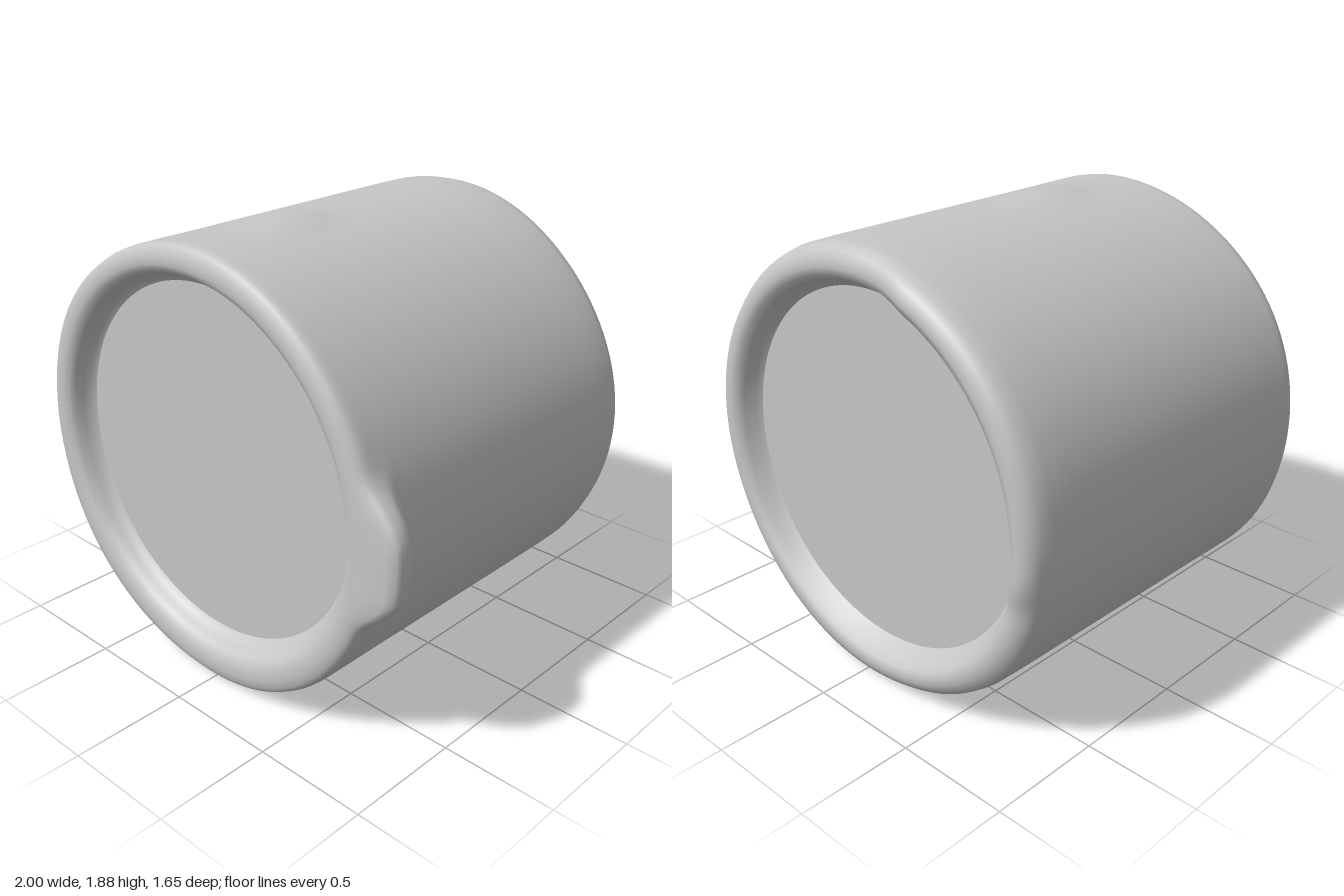
import * as THREE from 'three';
import { mergeVertices } from 'three/addons/utils/BufferGeometryUtils.js';

const smooth = THREE.MathUtils.smoothstep;
const CX = -0.055, CY = 0.928;

// Hand-made irregularity: pull tab, shallow swelling and uneven back rim
function deform(x, y, z) {
  const r = Math.hypot(x, y), a = Math.atan2(y, x);
  const outer = smooth(r, 0.84, 0.93);
  let grow = 0.004 * Math.sin(5 * a + 1) * outer;
  // Pull tab on the left side of the front rim
  const tab = 1 - smooth(Math.abs(a + 0.03), 0.1, 0.36);
  grow += 0.115 * tab * smooth(z, 0.64, 0.75) * outer;
  // Slight swelling on the top
  const d = Math.hypot((x - 0.03) / 0.2, (z - 0.3) / 0.3);
  if (y > 0) grow += 0.02 * (1 - smooth(d, 0, 1)) * outer;
  // The back rim stands out further on its upper right
  const back = smooth(-z, 0.72, 0.8) * smooth(-x, 0.13, 0.32) * smooth(y, -0.27, -0.1);
  // Front recess sits a little high
  const lift = z > 0.6 ? 0.018 * (1 - smooth(r, 0.78, 0.9)) : 0;
  const s = r > 0 ? (r + grow) / r : 1;
  return [CX + x * s * 1.005, CY + y * s * 0.99 + lift, z - 0.028 * back + 0.008 * tab * outer * smooth(z, 0.7, 0.8)];
}

// Revolve [radius, z] points around the z axis, then deform
function revolve(points, name, material) {
  let g = new THREE.LatheGeometry(points.map(p => new THREE.Vector2(...p)), 128);
  g.rotateX(Math.PI / 2);
  g.deleteAttribute('uv');
  g.deleteAttribute('normal');
  const p = g.attributes.position;
  for (let i = 0; i < p.count; i++) p.setXYZ(i, ...deform(p.getX(i), p.getY(i), p.getZ(i)));
  g = mergeVertices(g, 1e-5);
  g.computeVertexNormals();
  const mesh = new THREE.Mesh(g, material);
  mesh.name = name;
  return mesh;
}

export function createModel() {
  const group = new THREE.Group();
  group.name = 'can';
  const grey = new THREE.MeshStandardMaterial({ color: 0xc6c6c6 });
  grey.name = 'grey';

  // Side wall with a rounded rim at each end
  const profile = [[0.755, -0.7], [0.777, -0.722], [0.795, -0.765], [0.815, -0.792], [0.845, -0.8],
    [0.875, -0.797], [0.905, -0.783], [0.925, -0.76], [0.935, -0.72]];
  for (let z = -0.6; z < 0.6; z += 0.08) profile.push([0.937, z]);
  for (let z = 0.62; z < 0.765; z += 0.02) profile.push([0.938, z]);
  profile.push([0.936, 0.78], [0.928, 0.8], [0.91, 0.814], [0.88, 0.82], [0.85, 0.82],
    [0.82, 0.812], [0.802, 0.792], [0.79, 0.76], [0.775, 0.73], [0.755, 0.715]);
  group.add(revolve(profile, 'body', grey));

  // Flat recessed end panels
  group.add(revolve([[0, -0.7], [0.4, -0.7], [0.755, -0.7]], 'backPanel', grey));
  group.add(revolve([[0.755, 0.715], [0.4, 0.715], [0, 0.715]], 'frontPanel', grey));
  return group;
}
